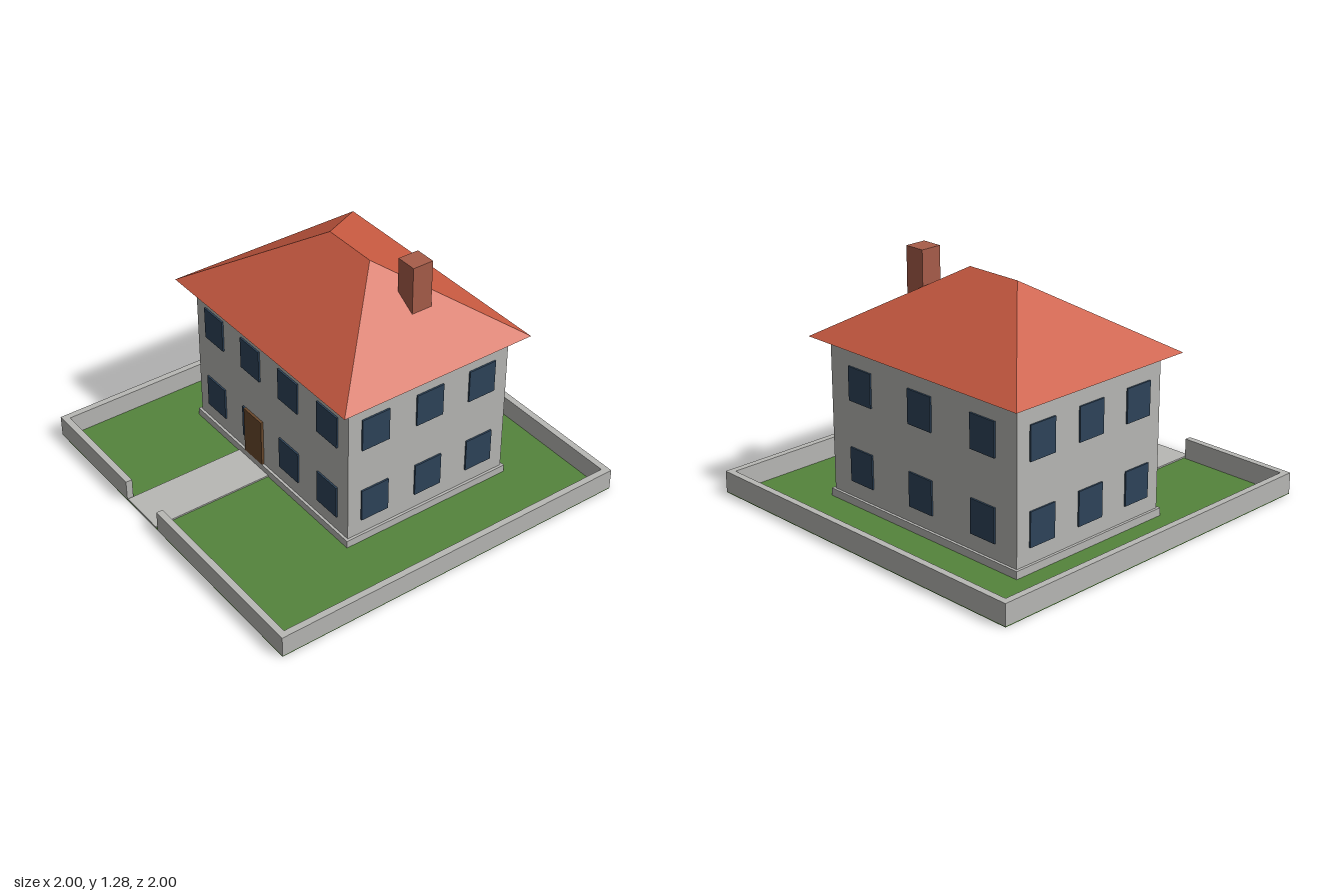
import * as THREE from 'three';
import { ConvexGeometry } from 'three/addons/geometries/ConvexGeometry.js';

export function createModel() {
  const model = new THREE.Group();
  model.name = 'house';
  const mat = (name, color) => {
    const m = new THREE.MeshStandardMaterial({ color });
    m.name = name;
    return m;
  };
  const stone = mat('stone grey', 0xb8b8b5);
  const grass = mat('grass green', 0x54843c);
  const tile = mat('roof tile red', 0xcb5b42);
  const brick = mat('chimney brick', 0xa85d4a);
  const glass = mat('window blue', 0x2e445a);
  const wood = mat('door brown', 0x6a492d);

  // Box given by its minimum and maximum corners
  const box = (name, material, x0, x1, y0, y1, z0, z1, parent = model) => {
    const mesh = new THREE.Mesh(new THREE.BoxGeometry(x1 - x0, y1 - y0, z1 - z0), material);
    mesh.position.set((x0 + x1) / 2, (y0 + y1) / 2, (z0 + z1) / 2);
    mesh.name = name;
    parent.add(mesh);
    return mesh;
  };

  // Plot and path
  const G = 0.005;
  box('lawn', grass, -1, 1, 0, G, -1, 1);
  box('path', stone, -0.34, -0.08, G, 0.013, 0.32, 1);

  // Garden wall with a gate opening at the front
  const T = 0.035, H = 0.115;
  const fence = new THREE.Group();
  fence.name = 'gardenWall';
  model.add(fence);
  box('gardenWallBack', stone, -1, 1, G, H, -1, -1 + T, fence);
  box('gardenWallRight', stone, -1, -1 + T, G, H, -1 + T, 1 - T, fence);
  box('gardenWallLeft', stone, 1 - T, 1, G, H, -1 + T, 1 - T, fence);
  box('gardenWallFrontRight', stone, -1, -0.347, G, H, 1 - T, 1, fence);
  box('gardenWallFrontLeft', stone, -0.063, 1, G, H, 1 - T, 1, fence);

  // House body and plinth
  const X0 = -0.707, X1 = 0.575, Z0 = -0.64, Z1 = 0.32, EAVE = 0.85;
  box('walls', stone, X0, X1, G, EAVE, Z0, Z1);
  box('plinth', stone, X0 - 0.014, X1 + 0.014, G, 0.046, Z0 - 0.014, Z1 + 0.014);

  // Hipped roof
  const points = [];
  for (const x of [-0.78, 0.648]) for (const z of [-0.717, 0.397]) points.push(new THREE.Vector3(x, EAVE, z));
  for (const x of [-0.226, 0.094]) points.push(new THREE.Vector3(x, 1.206, -0.16));
  const roof = new THREE.Mesh(new ConvexGeometry(points), tile);
  roof.name = 'roof';
  model.add(roof);

  box('chimney', brick, 0.256, 0.369, 0.95, 1.285, -0.32, -0.205);

  // Windows on both floors
  const W = 0.08, D = 0.009;
  const windows = new THREE.Group();
  windows.name = 'windows';
  model.add(windows);
  for (const [y0, y1] of [[0.13, 0.31], [0.555, 0.733]]) {
    for (const x of [-0.548, -0.228, 0.093, 0.413])
      box('frontWindow', glass, x - W, x + W, y0, y1, Z1, Z1 + D, windows);
    for (const x of [-0.49, -0.066, 0.36])
      box('backWindow', glass, x - W, x + W, y0, y1, Z0 - D, Z0, windows);
    for (const z of [-0.48, -0.16, 0.163]) {
      box('rightWindow', glass, X0 - D, X0, y0, y1, z - W, z + W, windows);
      box('leftWindow', glass, X1, X1 + D, y0, y1, z - W, z + W, windows);
    }
  }

  // Front door, standing on the plinth
  box('frontDoor', wood, -0.286, -0.134, 0.046, 0.312, Z1, Z1 + 0.014);
  return model;
}
